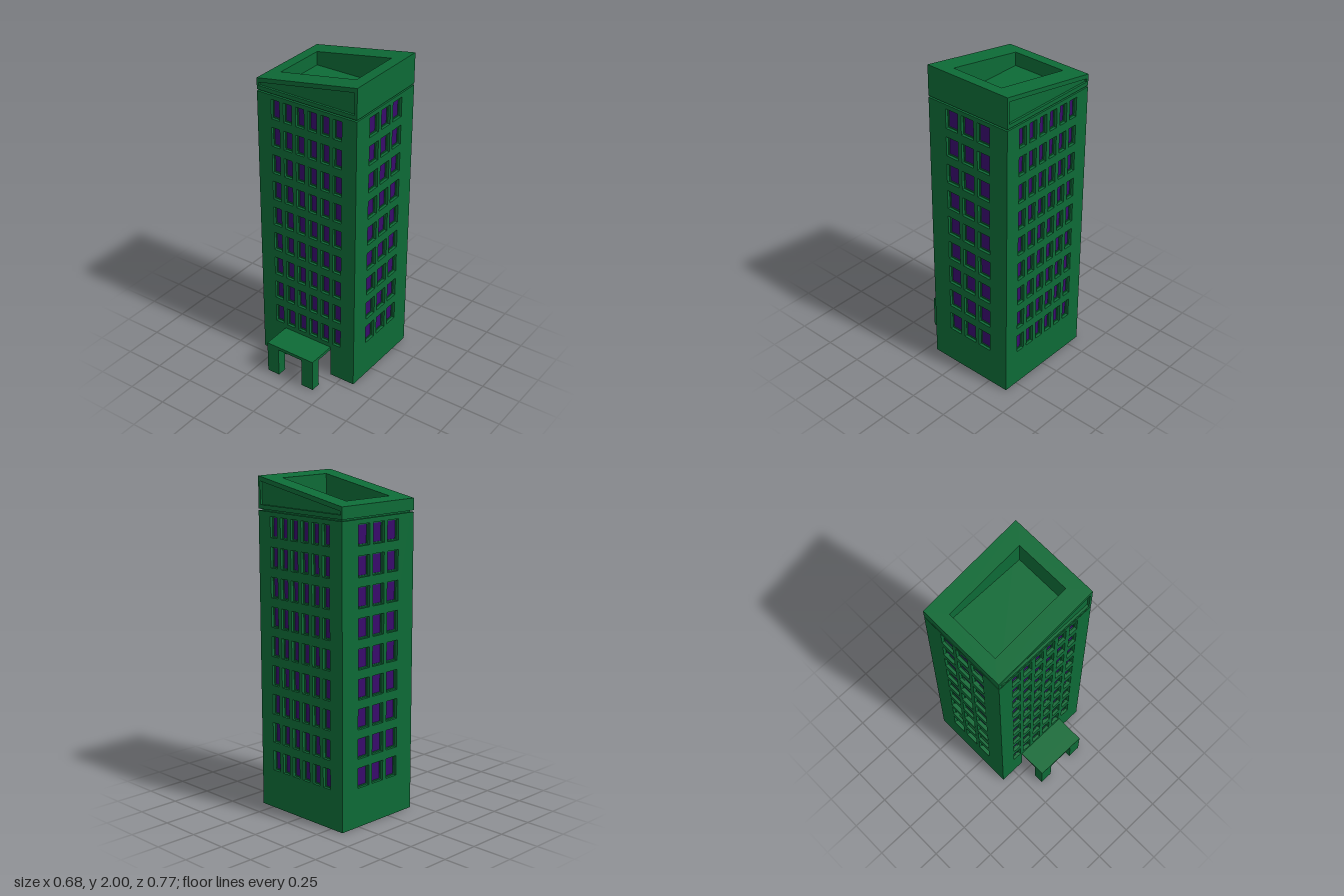
import * as THREE from 'three';

const green = new THREE.MeshStandardMaterial({ color: 0x0d6a36 });
const purple = new THREE.MeshStandardMaterial({ color: 0x380a6b });

const HX = 0.342, HZ = 0.29, CZ = -0.094;   // tower half sizes and centre in z
const TOP = 1.8, ROOF = 1.81;               // wall top and underside of the roof block
const WALL = 0.025, LOBBY = 0.19;           // wall panel thickness, lobby height
const DOOR = 0.171, PIT_X = 0.257, PIT_Z = 0.174;
const ROWS = 9, WIN_H = 0.122;

const poly = (pts) => pts.map(([x, y]) => new THREE.Vector2(x, y));
const rect = (cx, cy, w, h) => poly([
  [cx - w / 2, cy - h / 2], [cx + w / 2, cy - h / 2], [cx + w / 2, cy + h / 2], [cx - w / 2, cy + h / 2]]);

function extrude(outline, holes, depth) {
  const shape = new THREE.Shape(outline);
  shape.holes = holes.map((h) => new THREE.Path(h));
  return new THREE.ExtrudeGeometry(shape, { depth, bevelEnabled: false });
}

function add(parent, name, geometry, x = 0, y = 0, z = 0, material = green) {
  const mesh = new THREE.Mesh(geometry, material);
  mesh.name = name;
  mesh.position.set(x, y, z);
  parent.add(mesh);
  return mesh;
}

// Wall panel with recessed windows; its outer face lies at local z = 0
function makeWall(name, width, cols, pitch, winW, hasDoor) {
  const group = new THREE.Group();
  group.name = name;
  const w = width / 2;
  const outline = hasDoor
    ? poly([[-w, 0], [-DOOR, 0], [-DOOR, LOBBY], [DOOR, LOBBY], [DOOR, 0], [w, 0], [w, TOP], [-w, TOP]])
    : poly([[-w, 0], [w, 0], [w, TOP], [-w, TOP]]);
  const centres = [];
  for (let r = 0; r < ROWS; r++) {
    for (let c = 0; c < cols; c++) centres.push([(c - (cols - 1) / 2) * pitch, 0.3 + r * 0.1765]);
  }
  const holes = centres.map(([x, y]) => rect(x, y, winW, WIN_H));
  add(group, 'wallPanel', extrude(outline, holes, WALL), 0, 0, -WALL);

  const frame = extrude(rect(0, 0, winW, WIN_H), [rect(0, 0, winW - 0.014, WIN_H - 0.014)], 0.008);
  const glass = new THREE.PlaneGeometry(winW - 0.014, WIN_H - 0.014);
  for (const [x, y] of centres) {
    add(group, 'windowFrame', frame, x, y, -WALL);
    add(group, 'windowPane', glass, x, y, -WALL + 0.003, purple);
  }
  return group;
}

function makeTower() {
  const tower = new THREE.Group();
  tower.name = 'tower';
  const sideWidth = 2 * (HZ - WALL);
  for (const s of [1, -1]) {
    const face = makeWall(s > 0 ? 'frontWall' : 'backWall', 2 * HX, 6, 0.0857, 0.058, s > 0);
    face.position.z = s * HZ;
    face.rotation.y = s > 0 ? 0 : Math.PI;
    const side = makeWall(s > 0 ? 'leftWall' : 'rightWall', sideWidth, 3, 0.117, 0.09, false);
    side.position.x = s * HX;
    side.rotation.y = s * Math.PI / 2;
    tower.add(face, side);
  }
  // Solid core behind the wall panels
  const cx = HX - WALL, cz = HZ - WALL;
  add(tower, 'core', new THREE.BoxGeometry(2 * cx, TOP - LOBBY, 2 * cz), 0, (TOP + LOBBY) / 2, 0);

  // Open lobby at ground level, drawn in plan with y = -z and raised
  const plan = poly([
    [-cx, cz], [-cx, -cz], [-DOOR, -cz], [-DOOR, -PIT_Z], [-PIT_X, -PIT_Z], [-PIT_X, PIT_Z],
    [PIT_X, PIT_Z], [PIT_X, -PIT_Z], [DOOR, -PIT_Z], [DOOR, -cz], [cx, -cz], [cx, cz]]);
  add(tower, 'lobbyWalls', extrude(plan, [], LOBBY).rotateX(-Math.PI / 2));
  return tower;
}

function makeRoof() {
  const roof = new THREE.Group();
  roof.name = 'roof';
  const lip = 0.014;
  const slope = (x) => 1.94 + 0.06 * x / HX;

  // Recessed neck below the roof block, also the floor of the well
  add(roof, 'shadowGap', new THREE.BoxGeometry(2 * HX - 0.03, ROOF - TOP, 2 * HZ - 0.03), 0, (ROOF + TOP) / 2, 0);

  // Ring around the roof well, with its top tilted along x
  const ring = extrude(rect(0, 0, 2 * HX, 2 * (HZ - lip)), [rect(0, 0, 2 * PIT_X, 2 * PIT_Z)], 1);
  ring.rotateX(-Math.PI / 2);
  const p = ring.attributes.position;
  for (let i = 0; i < p.count; i++) p.setY(i, p.getY(i) > 0.5 ? slope(p.getX(i)) : ROOF);
  ring.computeVertexNormals();
  add(roof, 'slopedParapet', ring);

  // Raised border around the sunken wedge panel, front and back
  const outer = poly([[-HX, ROOF], [HX, ROOF], [HX, slope(HX)], [-HX, slope(-HX)]]);
  const inner = poly([[-0.328, 1.835], [0.325, 1.835], [0.325, 1.97], [-0.328, 1.855]]);
  const border = extrude(outer, [inner], lip);
  add(roof, 'frontBorder', border, 0, 0, HZ - lip);
  add(roof, 'backBorder', border, 0, 0, -HZ);
  return roof;
}

function makeCanopy() {
  const canopy = new THREE.Group();
  canopy.name = 'canopy';
  const wall = CZ + HZ, legBack = 0.32, end = 0.384, leg = 0.087, top = 0.21;
  const portal = poly([
    [-DOOR, 0], [-leg, 0], [-leg, LOBBY], [leg, LOBBY], [leg, 0], [DOOR, 0], [DOOR, top], [-DOOR, top]]);
  add(canopy, 'canopyLegs', extrude(portal, [], end - legBack), 0, 0, legBack);
  add(canopy, 'canopySlab', new THREE.BoxGeometry(2 * DOOR, top - LOBBY, legBack - wall),
    0, (top + LOBBY) / 2, (legBack + wall) / 2);
  return canopy;
}

export function createModel() {
  const model = new THREE.Group();
  model.name = 'officeTower';
  const building = new THREE.Group();
  building.name = 'building';
  building.position.z = CZ;
  building.add(makeTower(), makeRoof());
  model.add(building, makeCanopy());
  return model;
}
